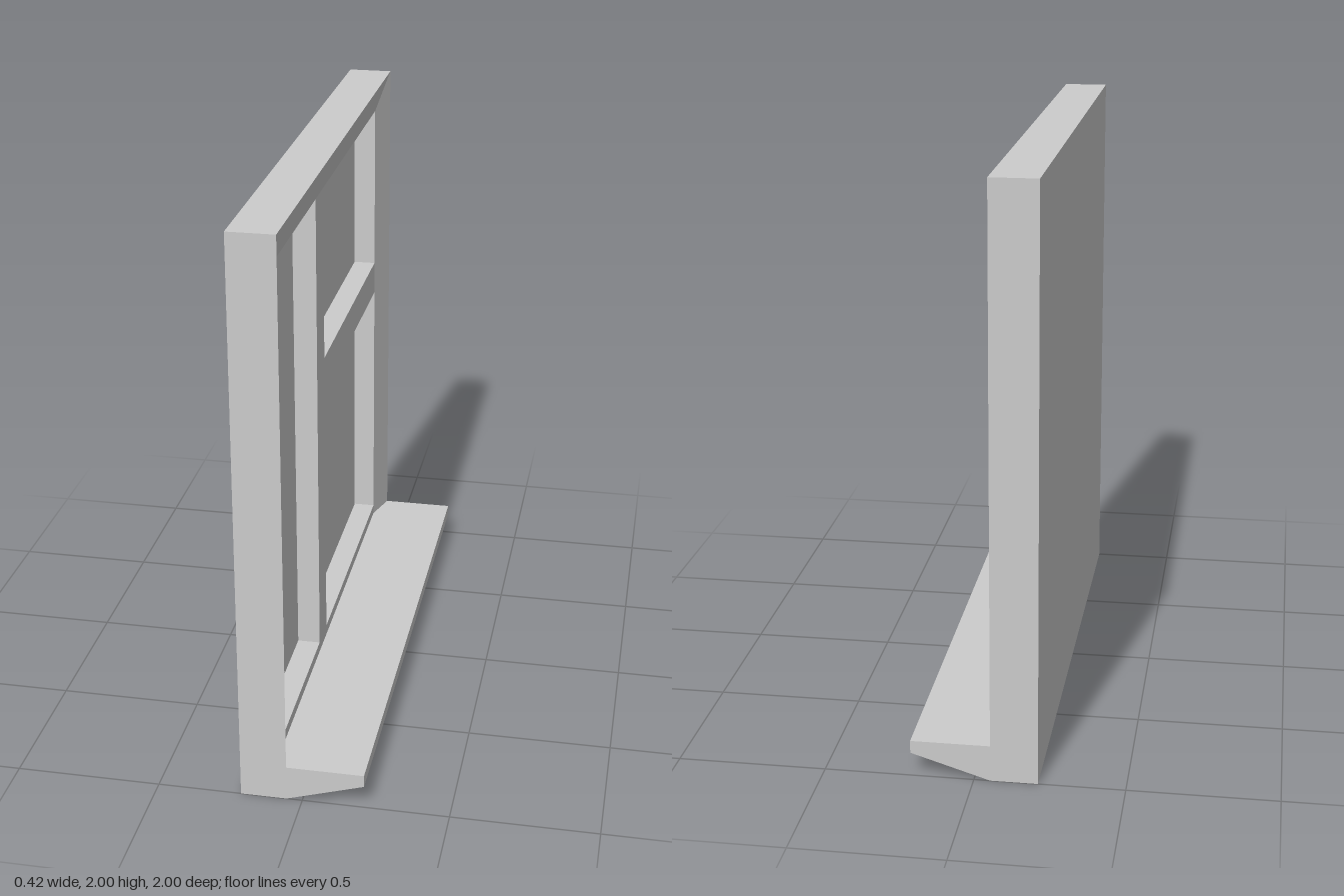
import * as THREE from 'three';

// Planes from back to front: slab back, pane, sunken frame, outer rim, sill edge
const BACK = -0.212, PANE = -0.173, FRAME = -0.092, RIM = -0.054, SILL = 0.211;
const SILL_TOP = 0.125, INNER_Z = 0.877, INNER_TOP = 1.872;

function rectPath(path, x0, y0, x1, y1) {
  path.moveTo(x0, y0);
  path.lineTo(x1, y0);
  path.lineTo(x1, y1);
  path.lineTo(x0, y1);
  path.closePath();
  return path;
}

// Wedge section swept up one side, across the top and down the other, mitred
function rimGeometry() {
  const corners = [
    [SILL_TOP, 1, SILL_TOP, INNER_Z],
    [2, 1, INNER_TOP, INNER_Z],
    [2, -1, INNER_TOP, -INNER_Z],
    [SILL_TOP, -1, SILL_TOP, -INNER_Z],
  ];
  const positions = [], index = [];
  corners.forEach(([y, z, innerY, innerZ], i) => {
    positions.push(FRAME, y, z, RIM, y, z, FRAME, innerY, innerZ);
    if (i === 0) return;
    for (let k = 0; k < 2; k++) {
      const a = (i - 1) * 3 + k, b = a + 3;
      index.push(a, a + 1, b + 1, a, b + 1, b);
    }
  });
  const indexed = new THREE.BufferGeometry();
  indexed.setAttribute('position', new THREE.Float32BufferAttribute(positions, 3));
  indexed.setIndex(index);
  const geometry = indexed.toNonIndexed();
  geometry.computeVertexNormals();
  return geometry;
}

export function createModel() {
  const group = new THREE.Group();
  group.name = 'window';
  const material = new THREE.MeshStandardMaterial({ color: 0xcccccc, side: THREE.DoubleSide });
  const add = (name, geometry) => {
    const mesh = new THREE.Mesh(geometry, material);
    mesh.name = name;
    group.add(mesh);
  };

  // Backing slab whose front shows through the openings as panes
  const slab = new THREE.BoxGeometry(PANE - BACK, 2, 2);
  slab.translate((PANE + BACK) / 2, 1, 0);
  add('panes', slab);

  // Sunken frame with one tall opening and two stacked ones (shape x becomes -z)
  const frame = rectPath(new THREE.Shape(), -1, 0, 1, 2);
  const openings = [
    [-INNER_Z, 0.162, -0.255, INNER_TOP],
    [-0.13, 1.25, INNER_Z, INNER_TOP],
    [-0.13, 0.162, INNER_Z, 1.125],
  ];
  for (const o of openings) frame.holes.push(rectPath(new THREE.Path(), ...o));
  const frameGeometry = new THREE.ExtrudeGeometry(frame, { depth: FRAME - PANE, bevelEnabled: false });
  frameGeometry.rotateY(Math.PI / 2).translate(PANE, 0, 0);
  add('frame', frameGeometry);

  // Border sloping inwards from the outer edge to the openings
  add('slopingRim', rimGeometry());

  // Sill with a sloping underside, reaching back to the sunken frame
  const profile = new THREE.Shape([
    new THREE.Vector2(FRAME, 0),
    new THREE.Vector2(RIM, 0),
    new THREE.Vector2(SILL, 0.082),
    new THREE.Vector2(SILL, SILL_TOP),
    new THREE.Vector2(FRAME, SILL_TOP),
  ]);
  const sill = new THREE.ExtrudeGeometry(profile, { depth: 2, bevelEnabled: false });
  sill.translate(0, 0, -1);
  add('sill', sill);

  return group;
}
